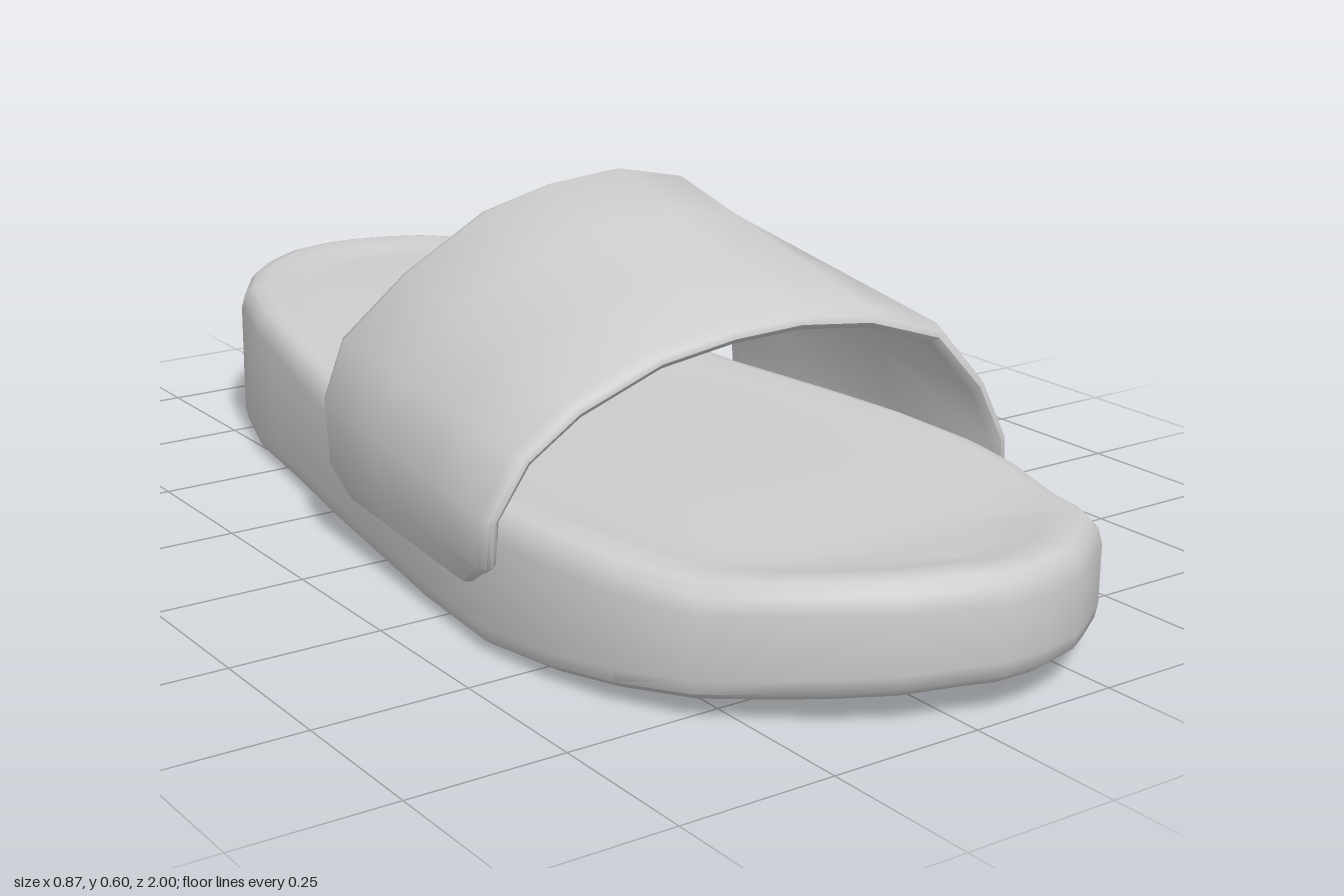
import * as THREE from 'three';
import { toCreasedNormals } from 'three/addons/utils/BufferGeometryUtils.js';

const material = new THREE.MeshStandardMaterial({ color: 0xcccccc });

// Collects quads and triangles of [x, y, z] points into a smooth mesh
function surface() {
  const pos = [];
  const tri = (a, b, c) => pos.push(...a, ...b, ...c);
  const quad = (a, b, c, d) => { tri(a, b, c); tri(a, c, d); };
  const mesh = (name, crease) => {
    const g = new THREE.BufferGeometry();
    g.setAttribute('position', new THREE.Float32BufferAttribute(pos, 3));
    const m = new THREE.Mesh(toCreasedNormals(g, crease), material);
    m.name = name;
    return m;
  };
  return { tri, quad, mesh };
}

const lerp = (a, b, t) => a + (b - a) * t;
const mix = (p, q, t) => p.map((v, i) => lerp(v, q[i], t));

// Linear lookup in a table of [z, value]
function lookup(table, z) {
  for (let i = 1; i < table.length; i++) {
    const [z0, v0] = table[i - 1], [z1, v1] = table[i];
    if (z <= z1) return lerp(v0, v1, Math.max(0, (z - z0) / (z1 - z0)));
  }
  return table[table.length - 1][1];
}

// Sole outline: [z, left edge x, right edge x] from heel to toe
const OUTLINE = [
  [-1, 0.07, 0.14], [-0.98, -0.01, 0.22], [-0.955, -0.05, 0.275], [-0.92, -0.1, 0.315],
  [-0.87, -0.15, 0.36], [-0.76, -0.22, 0.41], [-0.6, -0.27, 0.395], [-0.5, -0.285, 0.38],
  [-0.4, -0.3, 0.365], [-0.2, -0.335, 0.36], [0, -0.365, 0.37], [0.2, -0.395, 0.395],
  [0.4, -0.415, 0.417], [0.55, -0.395, 0.42], [0.66, -0.365, 0.41], [0.77, -0.31, 0.385],
  [0.85, -0.225, 0.355], [0.9, -0.165, 0.325], [0.95, -0.09, 0.25], [0.98, 0, 0.2], [1, 0.05, 0.12],
];
const TOP = [[-1, 0.277], [-0.7, 0.277], [-0.55, 0.27], [-0.4, 0.246], [-0.2, 0.226],
  [0, 0.225], [0.4, 0.225], [0.6, 0.218], [0.75, 0.2], [0.9, 0.214], [1, 0.214]];
const BOTTOM = [[-1, 0.04], [-0.95, 0.028], [-0.85, 0.012], [-0.7, 0], [0.3, 0], [0.5, 0.006], [0.8, 0.03], [1, 0.052]];

function buildSole() {
  const s = surface();
  const n = OUTLINE.length;
  // One ring round the outline, pulled in by d, at a height relative to top or bottom
  const ring = (d, table, dy) => {
    const point = (z, x, mid) => {
      const zi = z * (1 - d);
      return [mid + (x - mid) * (1 - d / 0.38), lookup(table, zi) + dy, zi];
    };
    const left = OUTLINE.map(([z, l, r]) => point(z, l, (l + r) / 2));
    const right = OUTLINE.map(([z, l, r]) => point(z, r, (l + r) / 2));
    return [...left, ...right.reverse()];
  };
  const rings = [
    ring(0.022, BOTTOM, 0), ring(0.004, BOTTOM, 0.014), ring(0, BOTTOM, 0.035),
    ring(0, TOP, -0.045), ring(0.006, TOP, -0.02), ring(0.02, TOP, -0.004),
    ring(0.04, TOP, 0), ring(0.075, TOP, -0.007), ring(0.12, TOP, -0.016),
  ];
  for (let k = 0; k + 1 < rings.length; k++) {
    for (let i = 0; i < 2 * n; i++) {
      const j = (i + 1) % (2 * n);
      s.quad(rings[k][i], rings[k][j], rings[k + 1][j], rings[k + 1][i]);
    }
  }
  // Flat underside and footbed, strung between the left and right edges
  const cap = (r, up) => {
    const cols = 4;
    const at = (i, j) => mix(r[i], r[2 * n - 1 - i], j / cols);
    for (let i = 0; i + 1 < n; i++) {
      for (let j = 0; j < cols; j++) {
        const q = [at(i, j), at(i + 1, j), at(i + 1, j + 1), at(i, j + 1)];
        s.quad(...(up ? q : q.reverse()));
      }
    }
  };
  cap(rings[0], false);
  cap(rings[rings.length - 1], true);
  return s.mesh('sole', 0.75);
}

// Strap edges, running over the foot from -x to +x
const STRAP_FRONT = [
  [-0.42, 0.095, 0.37], [-0.437, 0.14, 0.44], [-0.44, 0.22, 0.452], [-0.385, 0.31, 0.46],
  [-0.3, 0.375, 0.472], [-0.17, 0.435, 0.495], [-0.05, 0.46, 0.515], [0.06, 0.47, 0.535],
  [0.18, 0.46, 0.555], [0.3, 0.422, 0.58], [0.38, 0.33, 0.595], [0.425, 0.235, 0.602],
  [0.437, 0.14, 0.597], [0.425, 0.08, 0.52],
];
const STRAP_BACK = [
  [-0.378, 0.095, -0.07], [-0.385, 0.14, -0.13], [-0.382, 0.24, -0.15], [-0.355, 0.345, -0.13],
  [-0.26, 0.45, -0.09], [-0.14, 0.547, -0.04], [-0.03, 0.586, -0.01], [0.09, 0.6, 0.005],
  [0.21, 0.574, 0.01], [0.31, 0.503, 0], [0.365, 0.38, -0.02], [0.395, 0.25, -0.04],
  [0.4, 0.14, -0.035], [0.39, 0.08, 0.01],
];
// Strap cross-section: [position front to back, depth below the outer face]
const SECTION = [[0.004, 0.008], [0.035, 0], [0.35, 0], [0.65, 0], [0.965, 0], [0.996, 0.008],
  [1, 0.018], [0.98, 0.03], [0.65, 0.03], [0.35, 0.03], [0.02, 0.03], [0, 0.018]];

function buildStrap() {
  const s = surface();
  const n = STRAP_FRONT.length, m = SECTION.length;
  const loops = STRAP_FRONT.map((_, u) => SECTION.map(([v, depth]) => {
    const at = (i) => mix(STRAP_FRONT[i], STRAP_BACK[i], v);
    const p = at(u), a = at(Math.max(u - 1, 0)), b = at(Math.min(u + 1, n - 1));
    const tx = b[0] - a[0], ty = b[1] - a[1], len = Math.hypot(tx, ty);
    return [p[0] + (ty / len) * depth, p[1] - (tx / len) * depth, p[2]];
  }));
  for (let u = 0; u + 1 < n; u++) {
    for (let k = 0; k < m; k++) {
      const l = (k + 1) % m;
      s.quad(loops[u][k], loops[u + 1][k], loops[u + 1][l], loops[u][l]);
    }
  }
  // Lower ends of the strap, closed between outer and inner face
  const [first, last] = [loops[0], loops[n - 1]];
  for (let k = 0; k < m / 2 - 1; k++) {
    const o = m - 1 - k;
    s.quad(first[k], first[k + 1], first[o - 1], first[o]);
    s.quad(last[o], last[o - 1], last[k + 1], last[k]);
  }
  return s.mesh('strap', 1);
}

export function createModel() {
  const slide = new THREE.Group();
  slide.name = 'slideSandal';
  slide.add(buildSole(), buildStrap());
  return slide;
}
